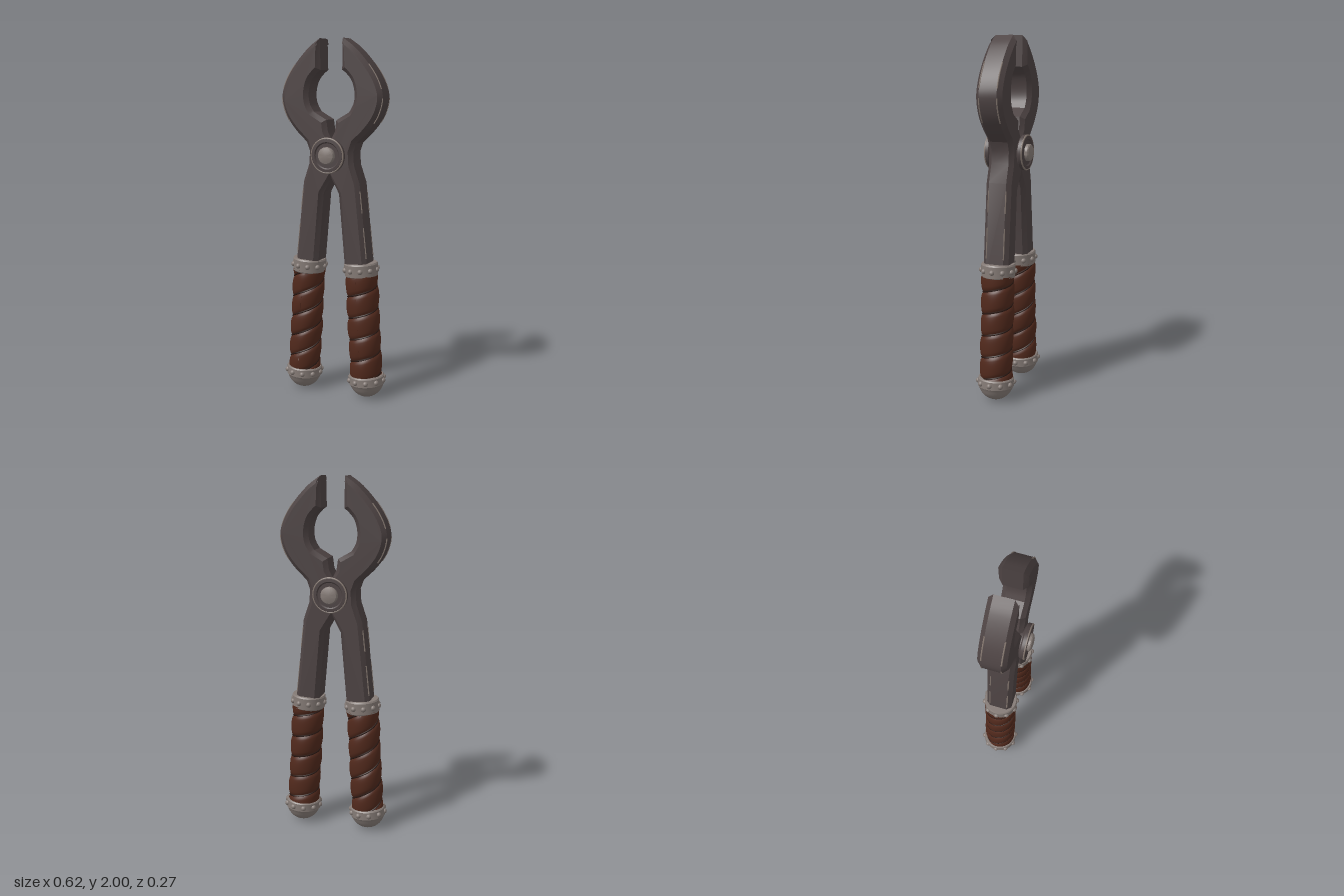
import * as THREE from 'three';
import { toCreasedNormals } from 'three/addons/utils/BufferGeometryUtils.js';

const material = (name, color, side = THREE.FrontSide) =>
  Object.assign(new THREE.MeshStandardMaterial({ color, side }), { name });
const V = (x, y, z = 0) => new THREE.Vector3(x, y, z);
const V2 = ([x, y]) => new THREE.Vector2(x, y);

export function createModel() {
  const iron = material('dark iron', 0x4d4343);
  const worn = material('worn iron', 0x857870);
  const steel = material('dull steel', 0x857b76);
  const leather = material('brown leather', 0x51291c, THREE.DoubleSide);
  const seam = material('leather seam', 0x2a1711);

  const model = new THREE.Group();
  model.name = 'tongs';
  const add = (parent, name, geometry, mat) => {
    const mesh = new THREE.Mesh(geometry, mat);
    mesh.name = name;
    parent.add(mesh);
    return mesh;
  };
  const lathe = (points, segments = 40) =>
    toCreasedNormals(new THREE.LatheGeometry(points.map(V2), segments), 0.5);
  const smoothLine = (points, n) =>
    new THREE.CatmullRomCurve3(points.map(([x, y]) => V(x, y))).getPoints(n).map((p) => [p.x, p.y]);

  // Iron body: half outline, mirrored across the middle
  const jawOuter = smoothLine([[0.148, 1.44], [0.22, 1.51], [0.275, 1.59], [0.298, 1.68],
    [0.285, 1.745], [0.24, 1.83], [0.14, 1.945], [0.068, 1.998]], 28);
  const jawInner = smoothLine([[0.085, 1.815], [0.118, 1.775], [0.136, 1.71], [0.13, 1.65], [0.105, 1.605]], 14);
  const half = [
    [0.046, 1.16], [0.085, 0.72], [0.22, 0.72], [0.168, 1.22], [0.134, 1.32], [0.13, 1.39],
    ...jawOuter, [0.064, 1.83], ...jawInner, [0.03, 1.562], [0.021, 1.5],
  ];
  const outline = [[0, 1.245], ...half, [0, 1.46], ...half.map(([x, y]) => [-x, y]).reverse()];
  const bevel = 0.023;
  const depth = 0.146 - 2 * bevel;
  const body = new THREE.ExtrudeGeometry(new THREE.Shape(outline.map(V2)), {
    depth, bevelEnabled: true, bevelSize: bevel, bevelOffset: -bevel, bevelThickness: bevel, bevelSegments: 1,
  });
  body.translate(0, 0, -depth / 2);
  add(model, 'jawsAndArms', toCreasedNormals(body, 0.45), iron);

  // Scuffed streaks along the outer edges
  const streaks = [jawOuter.slice(6, 13), jawOuter.slice(15, 22), [[0.211, 0.81], [0.193, 0.98]], [[0.185, 1.06], [0.172, 1.18]]];
  for (const side of [-1, 1]) for (const face of [-1, 1]) for (const streak of streaks) {
    const path = new THREE.CatmullRomCurve3(streak.map(([x, y]) => V(side * (x - 0.0015), y, face * 0.05)));
    add(model, 'wornEdge', new THREE.TubeGeometry(path, 10, 0.004, 5), worn);
  }

  // Pivot washer and rivet on both faces
  for (const face of [-1, 1]) {
    const pivot = new THREE.Group();
    pivot.name = 'pivot';
    pivot.position.set(0, 1.372, face * 0.07);
    pivot.rotation.x = face * Math.PI / 2;
    add(pivot, 'washer', lathe([[0.075, -0.01], [0.075, 0.008], [0.09, 0.009], [0.097, 0.016],
      [0.097, 0.033], [0.09, 0.041], [0.074, 0.042], [0.068, 0.036], [0, 0.036]]), iron);
    const rim = add(pivot, 'washerRim', new THREE.TorusGeometry(0.0935, 0.005, 6, 40), worn);
    rim.rotation.x = Math.PI / 2;
    rim.position.y = 0.036;
    add(pivot, 'rivet', lathe([[0.047, 0.03], [0.047, 0.052], [0.042, 0.058], [0.025, 0.063], [0, 0.065]]), steel);
    model.add(pivot);
  }

  // Ring of rounded studs around a handle
  const studs = (parent, radius, y, count) => {
    for (let i = 0; i < count; i++) {
      const a = (i + 0.5) / count * Math.PI * 2;
      const stud = add(parent, 'stud', new THREE.SphereGeometry(0.015, 12, 8), steel);
      stud.position.set(Math.sin(a) * radius, y, Math.cos(a) * radius);
    }
  };

  // Leather wrap: a cylinder sheared into overlapping spiral bands
  const wrap = (parent, band, starts) => {
    const y0 = 0.01, y1 = 0.615, rows = 10, rise = band * starts;
    const bands = Math.ceil((y1 - y0) / band) + starts;
    const profile = [0.078, 0.088, 0.0905, 0.092, 0.0925, 0.0925, 0.092, 0.091, 0.0895, 0.087];
    const geo = new THREE.CylinderGeometry(1, 1, bands * band, 48, bands * rows, true);
    const pos = geo.attributes.position;
    for (let i = 0; i < pos.count; i++) {
      const row = Math.floor(i / 49);
      const turn = (i % 49) / 48;
      const y = y0 - rise + (bands - row / rows) * band + turn * rise;
      const r = profile[row % rows] + 0.0015 * Math.sin(turn * Math.PI * 6 + Math.floor(row / rows) * 2) * Math.sin((row % rows) / rows * Math.PI);
      pos.setXYZ(i, pos.getX(i) * r, THREE.MathUtils.clamp(y, y0, y1), pos.getZ(i) * r);
    }
    geo.computeVertexNormals();
    add(parent, 'leatherWrap', toCreasedNormals(geo, 0.6), leather);

    // Dark seam sunk in the groove of each spiral
    for (let s = 0; s < starts; s++) {
      const points = [];
      const turns = (y1 - y0) / rise;
      for (let k = 0; k <= 80; k++) {
        const t = k / 80 * turns;
        const a = (t - s / starts) * Math.PI * 2;
        points.push(V(Math.sin(a) * 0.082, y0 + t * rise, Math.cos(a) * 0.082));
      }
      add(parent, 'wrapSeam', new THREE.TubeGeometry(new THREE.CatmullRomCurve3(points), 160, 0.0055, 5), seam);
    }
  };

  // Handles
  for (const side of [-1, 1]) {
    const handle = new THREE.Group();
    handle.name = side > 0 ? 'leftHandle' : 'rightHandle';
    handle.position.set(side * 0.197, 0.098, 0);
    handle.rotation.z = side * 0.058;

    const dome = [];
    for (let i = 0; i <= 12; i++) {
      const a = i / 12 * Math.PI / 2;
      dome.push([Math.sin(a) * 0.098, -Math.cos(a) * 0.098]);
    }
    add(handle, 'pommel', lathe([...dome.slice(0, 10), [0.097, -0.024], [0.101, -0.018], [0.101, 0.026],
      [0.096, 0.032], [0, 0.032]]), steel);
    studs(handle, 0.099, 0.004, 10);

    wrap(handle, side > 0 ? 0.125 : 0.12, side > 0 ? 1 : 2);

    add(handle, 'collar', lathe([[0, 0.602], [0.088, 0.602], [0.093, 0.608], [0.095, 0.672],
      [0.09, 0.68], [0, 0.68]]), steel);
    studs(handle, 0.092, 0.641, 10);
    model.add(handle);
  }
  return model;
}
